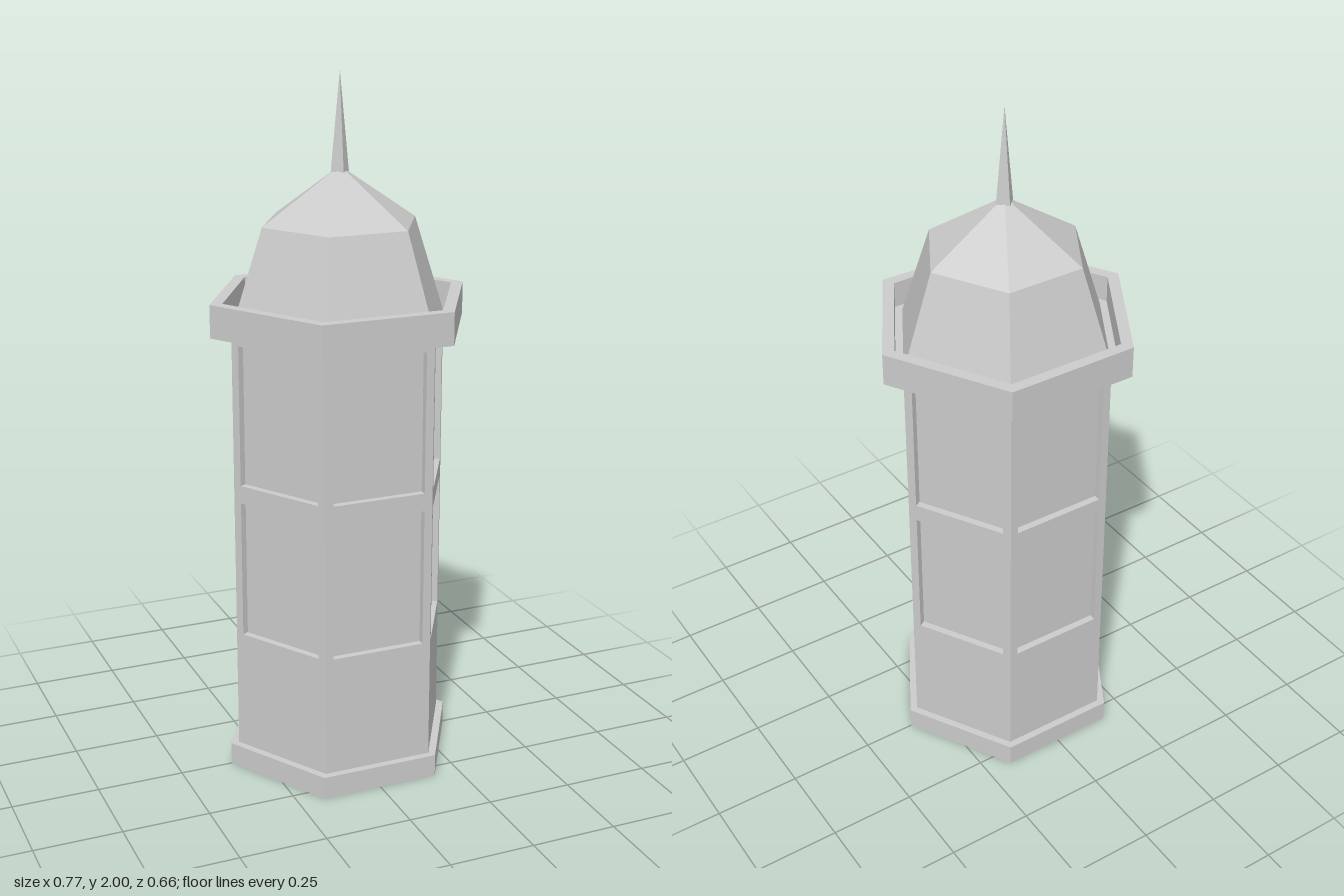
import * as THREE from 'three';

const material = new THREE.MeshStandardMaterial({ color: 0xcccccc, flatShading: true });
const APOTHEM = Math.cos(Math.PI / 6);

// Six- or four-sided solid of revolution; the profile runs from bottom to top
function facetedLathe(name, profile, sides = 6) {
  const points = profile.map(([r, y]) => new THREE.Vector2(r, y));
  const geometry = new THREE.LatheGeometry(points, sides, Math.PI / 2).toNonIndexed();
  geometry.computeVertexNormals();
  const mesh = new THREE.Mesh(geometry, material);
  mesh.name = name;
  return mesh;
}

function addRect(path, x, y0, y1) {
  path.moveTo(-x, y0);
  path.lineTo(x, y0);
  path.lineTo(x, y1);
  path.lineTo(-x, y1);
  path.closePath();
  return path;
}

export function createModel() {
  const group = new THREE.Group();
  const bodyRadius = 0.322;
  const recess = 0.02;
  const floorY = 1.31;

  // Plinth and inner core (the core forms the recessed panel surfaces)
  group.add(facetedLathe('plinth', [[0, 0], [0.346, 0], [0.346, 0.065], [0, 0.065]]));
  const coreRadius = bodyRadius - recess / APOTHEM;
  group.add(facetedLathe('panelCore', [[0, 0.06], [coreRadius, 0.06], [coreRadius, 1.3], [0, 1.3]]));

  // Wall frames, each with two panel openings
  const wall = addRect(new THREE.Shape(), bodyRadius / 2, 0.06, 1.3);
  for (const [y0, y1] of [[0.415, 0.815], [0.867, 1.27]]) {
    wall.holes.push(addRect(new THREE.Path(), 0.137, y0, y1));
  }
  const wallGeometry = new THREE.ExtrudeGeometry(wall, { depth: recess, bevelEnabled: false });
  wallGeometry.translate(0, 0, bodyRadius * APOTHEM - recess);
  for (let i = 0; i < 6; i++) {
    const mesh = new THREE.Mesh(wallGeometry, material);
    mesh.name = `wallFrame${i + 1}`;
    mesh.rotation.y = (i * Math.PI) / 3;
    group.add(mesh);
  }

  // Cornice with a raised rim around the roof
  group.add(facetedLathe('cornice', [
    [0, 1.295], [0.383, 1.295], [0.383, 1.388], [0.346, 1.388], [0.346, floorY], [0, floorY],
  ]));

  // Two-pitch roof and four-sided spire
  group.add(facetedLathe('roof', [[bodyRadius, floorY], [0.229, 1.588], [0, 1.743]]));
  group.add(facetedLathe('spire', [[0, 1.727], [0.027, 1.727], [0, 2]], 4));

  return group;
}
